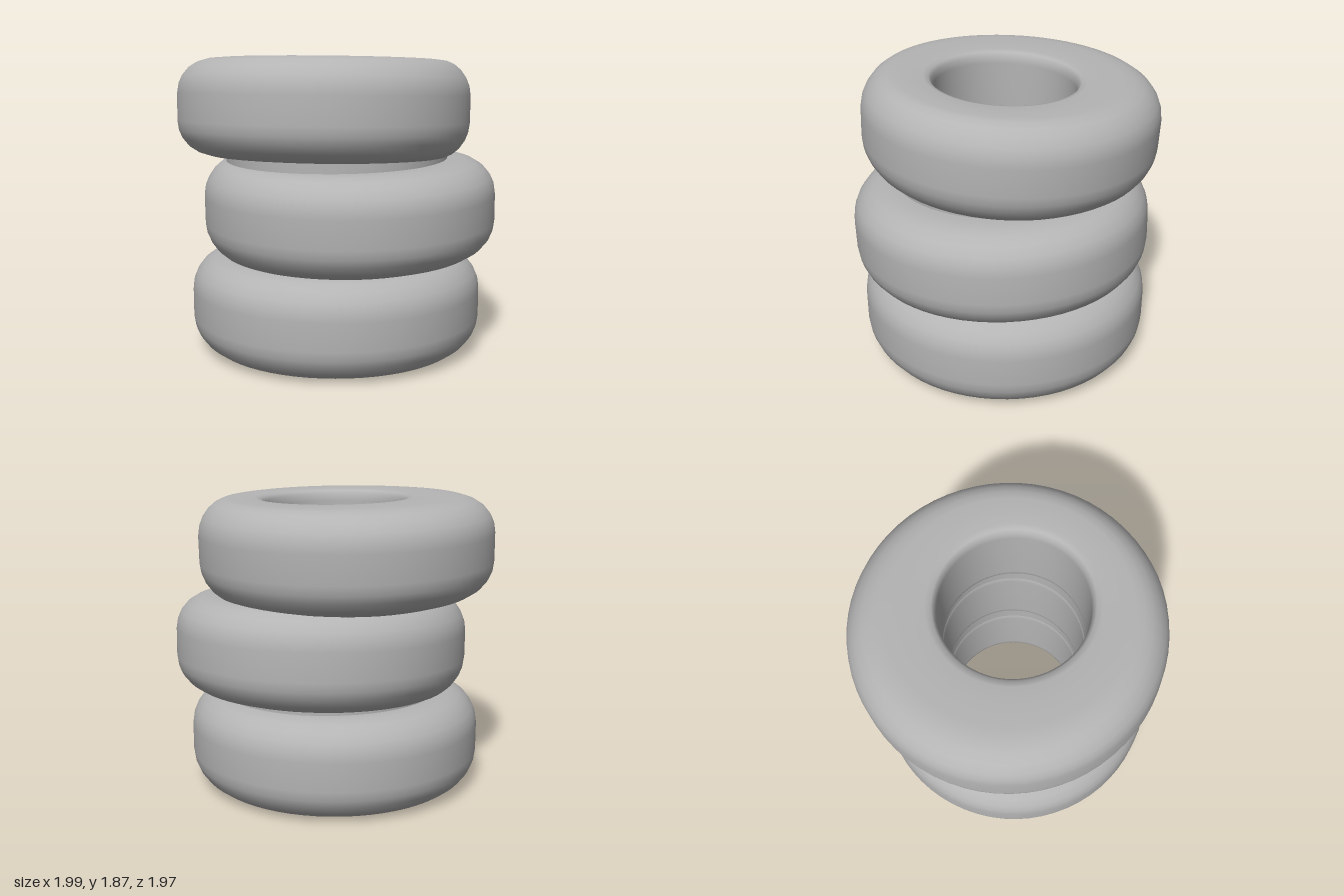
import * as THREE from 'three';
import { mergeVertices } from 'three/addons/utils/BufferGeometryUtils.js';

const HEIGHT = 0.61;
const OUTER = 0.93;
const BORE = 0.44;
const BORE_X = -0.008;
const BORE_Z = 0.005;

// Closed tyre cross-section (radius, height), counter-clockwise from the inner bottom
function tyreProfile() {
  const lower = [
    [BORE, 0.08], [0.447, 0.035], [0.465, 0.012], [0.5, 0.002], [0.6, 0], [0.7, 0], [0.76, 0.006],
    [0.815, 0.026], [0.862, 0.06], [0.9, 0.11], [0.921, 0.16], [OUTER, 0.22],
  ];
  const upper = lower.map(([r, y]) => [r, HEIGHT - y]).reverse();
  return [...lower, ...upper, lower[0]].map(([r, y]) => new THREE.Vector2(r, y));
}

// Tyre whose body is shifted and tilted while its hole stays in line with the bore
function tyreGeometry({ x, z, base, slopeX, slopeZ }) {
  let geometry = new THREE.LatheGeometry(tyreProfile(), 64);
  geometry.deleteAttribute('uv');
  geometry.deleteAttribute('normal');
  const p = geometry.attributes.position;
  for (let i = 0; i < p.count; i++) {
    const px = p.getX(i), py = p.getY(i), pz = p.getZ(i);
    const w = THREE.MathUtils.smoothstep(Math.hypot(px, pz), BORE, OUTER);
    const lift = py - HEIGHT / 2;
    p.setXYZ(
      i,
      px + THREE.MathUtils.lerp(BORE_X, x - slopeX * lift, w),
      base + py + slopeX * px + slopeZ * pz,
      pz + THREE.MathUtils.lerp(BORE_Z, z - slopeZ * lift, w),
    );
  }
  geometry = mergeVertices(geometry);
  geometry.computeVertexNormals();
  return geometry;
}

export function createModel() {
  const group = new THREE.Group();
  const rubber = new THREE.MeshStandardMaterial({ color: 0xb4b4b4 });
  rubber.name = 'grey rubber';
  const lining = new THREE.MeshStandardMaterial({ color: 0xb4b4b4, side: THREE.DoubleSide });
  lining.name = 'grey lining';

  const add = (name, geometry, material) => {
    const mesh = new THREE.Mesh(geometry, material);
    mesh.name = name;
    group.add(mesh);
    return mesh;
  };

  // Three stacked tyres
  const tyres = [
    { name: 'bottomTyre', x: -0.01, z: 0.008, base: 0, slopeX: 0, slopeZ: 0 },
    { name: 'middleTyre', x: 0.065, z: 0.055, base: 0.615, slopeX: 0.022, slopeZ: -0.022 },
    { name: 'topTyre', x: -0.065, z: -0.05, base: 1.232, slopeX: -0.03, slopeZ: 0.033 },
  ];
  tyres.forEach((t) => add(t.name, tyreGeometry(t), rubber));

  // Rings filling the seams between neighbouring tyres
  [['lowerSeam', 0.615, 0.025], ['upperSeam', 1.228, 0]].forEach(([name, y, shift]) => {
    const seam = add(name, new THREE.CylinderGeometry(0.71, 0.71, 0.09, 64, 1, true), rubber);
    seam.position.set(shift, y, shift);
  });

  // Lining closing the seams inside the bore
  const bore = add('boreLining', new THREE.CylinderGeometry(BORE + 0.006, BORE + 0.006, 1.5, 64, 1, true), lining);
  bore.position.set(BORE_X, 0.92, BORE_Z);

  return group;
}
